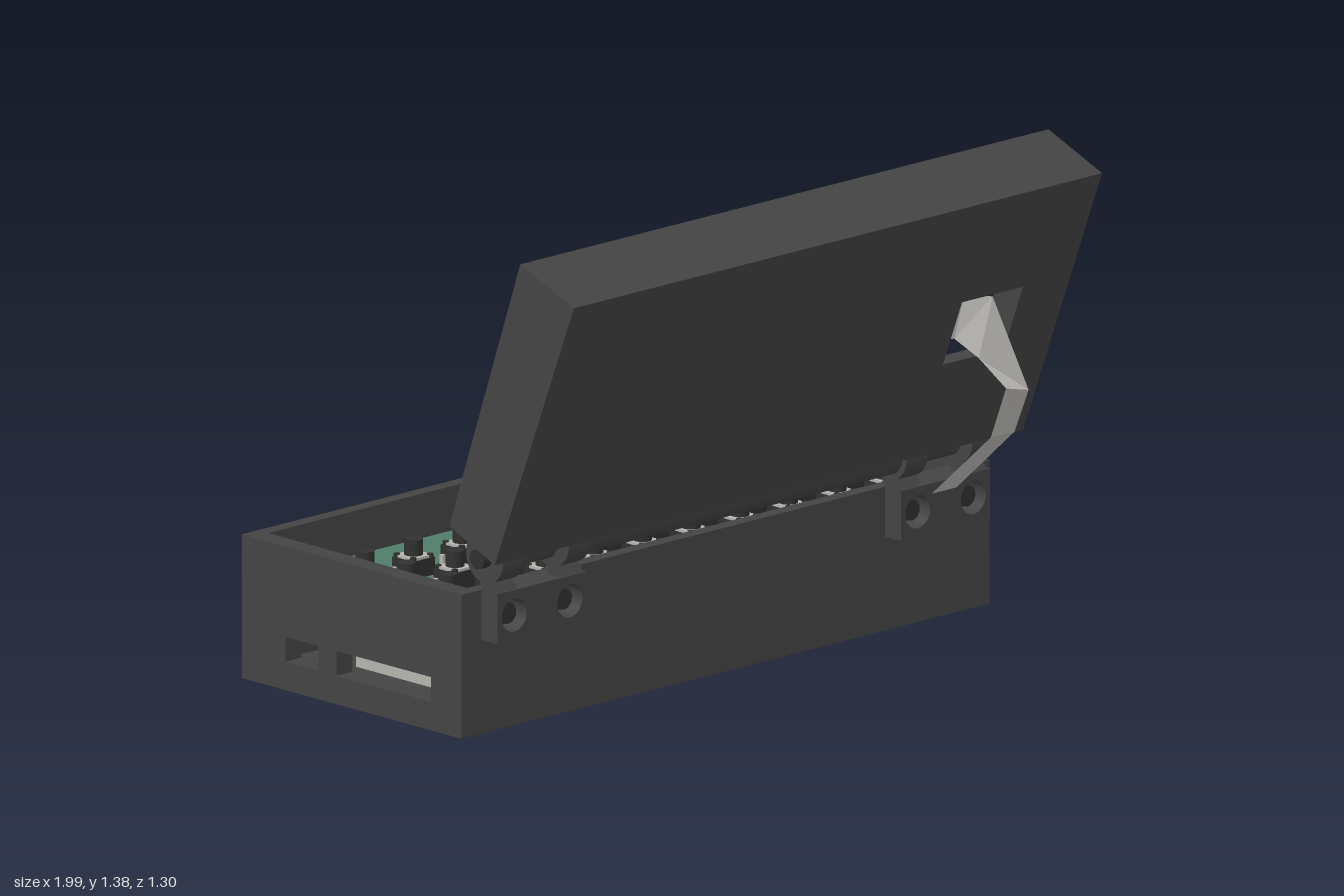
import * as THREE from 'three';

const mat = (name, color, side = THREE.FrontSide) => {
  const m = new THREE.MeshStandardMaterial({ color, side });
  m.name = name;
  return m;
};

export function createModel() {
  const M = {
    shell: mat('charcoal shell', 0x444444),
    screen: mat('black screen', 0x0a0a0a),
    board: mat('green board', 0x4f7d69),
    metal: mat('pale metal', 0xb4b3ac),
    dark: mat('dark plastic', 0x303030),
    tan: mat('tan plastic', 0xcdbf8c),
    cable: mat('grey cable', 0xc0beba, THREE.DoubleSide),
    hole: mat('dark olive', 0x3c5040),
  };
  const model = new THREE.Group();

  const add = (name, geo, material, parent = model) => {
    const m = new THREE.Mesh(geo, material);
    m.name = name;
    parent.add(m);
    return m;
  };
  // box given by its limits
  const box = (name, x0, x1, y0, y1, z0, z1, material, parent) =>
    add(name, new THREE.BoxGeometry(x1 - x0, y1 - y0, z1 - z0)
      .translate((x0 + x1) / 2, (y0 + y1) / 2, (z0 + z1) / 2), material, parent);
  const polygon = pts => new THREE.Shape(pts.map(p => new THREE.Vector2(...p)));
  const rect = (a0, a1, b0, b1) => polygon([[a0, b0], [a1, b0], [a1, b1], [a0, b1]]);
  const extrude = (shape, depth) =>
    new THREE.ExtrudeGeometry(shape, { depth, bevelEnabled: false, curveSegments: 16 });
  // side profile in (z, y), extruded from x0 to x1
  const profile = (name, shape, x0, x1, material, parent) =>
    add(name, extrude(shape, x1 - x0).rotateY(-Math.PI / 2).translate(x1, 0, 0), material, parent);
  // cylinder lying along x
  const rod = (name, r, x0, x1, y, z, material, parent) =>
    add(name, new THREE.CylinderGeometry(r, r, x1 - x0, 24).rotateZ(Math.PI / 2)
      .translate((x0 + x1) / 2, y, z), material, parent);

  // ---- base case, with port openings in its side walls
  const base = new THREE.Group();
  base.name = 'base';
  model.add(base);
  const [back, front, top] = [-0.65, 0.21, 0.405];
  box('baseFloor', -0.99, 0.99, 0, 0.04, back + 0.01, front - 0.01, M.shell, base);
  box('baseBackWall', -0.94, 0.94, 0, top, back, back + 0.04, M.shell, base);
  box('baseFrontWall', -0.94, 0.94, 0, top, front - 0.04, front, M.shell, base);
  const leftWall = rect(back, front, 0, top);
  leftWall.holes.push(rect(-0.2, 0.005, 0.1, 0.21));
  profile('baseLeftWall', leftWall, 0.935, 0.995, M.shell, base);
  const rightWall = rect(back, front, 0, top);
  rightWall.holes.push(rect(-0.48, -0.35, 0.08, 0.15), rect(-0.28, 0.09, 0.08, 0.15));
  profile('baseRightWall', rightWall, -0.995, -0.935, M.shell, base);
  box('baseUnderside', -0.94, 0.94, 0, 0.03, back + 0.002, front - 0.002, M.shell, base);
  box('portConnector', -0.93, -0.8, 0.095, 0.133, -0.27, 0.08, M.metal, base);

  // ---- circuit board with keys, pin holes and socket
  const by = 0.28;
  const board = new THREE.Group();
  board.name = 'circuitBoard';
  model.add(board);
  box('boardPlate', -0.935, 0.935, by - 0.03, by, -0.61, 0.17, M.board, board);
  const bodyGeo = new THREE.BoxGeometry(0.086, 0.05, 0.08);
  const plateGeo = new THREE.BoxGeometry(0.074, 0.008, 0.074);
  const capGeo = new THREE.CylinderGeometry(0.026, 0.026, 0.045, 16);
  const rivetGeo = new THREE.CylinderGeometry(0.009, 0.009, 0.01, 8);
  const legGeo = new THREE.BoxGeometry(0.014, 0.03, 0.014);
  for (let row = 0; row < 3; row++) {
    for (let col = 0; col < 10; col++) {
      const key = new THREE.Group();
      key.name = 'key';
      key.position.set(-0.825 + col * 0.1833, by, -0.345 + row * 0.1625);
      board.add(key);
      add('keyBody', bodyGeo, M.dark, key).position.y = 0.03;
      add('keyPlate', plateGeo, M.metal, key).position.y = 0.058;
      add('keyCap', capGeo, M.dark, key).position.y = 0.085;
      for (const sx of [-1, 1]) for (const sz of [-1, 1]) {
        add('keyRivet', rivetGeo, M.dark, key).position.set(sx * 0.032, 0.06, sz * 0.032);
        add('keyLeg', legGeo, M.metal, key).position.set(sx * 0.047, 0.015, sz * 0.026);
      }
    }
  }
  const pinGeo = new THREE.CylinderGeometry(0.009, 0.009, 0.006, 8);
  for (const z of [-0.27, 0.08])
    for (let i = 0; i < 20; i++)
      add('pinHole', pinGeo, M.hole, board).position.set(-0.875 + i * 0.0368, by + 0.001, z);
  box('socketBody', 0.7, 0.84, by, by + 0.035, 0.065, 0.11, M.tan, board);
  box('socketLatch', 0.71, 0.83, by, by + 0.04, 0.11, 0.148, M.dark, board);
  for (let i = 0; i < 8; i++)
    box('socketPin', 0.718 + i * 0.014, 0.725 + i * 0.014, by, by + 0.01, 0.052, 0.066, M.tan, board);

  // ---- lid: a tapered tray leaning forward, corners given in (z, y)
  const lid = new THREE.Group();
  lid.name = 'lid';
  model.add(lid);
  const A = [0.65, 1.3], B = [0.44, 1.382], C = [0.162, 0.59], D = [0.34, 0.515];
  const mix = (p, q, t) => [p[0] + (q[0] - p[0]) * t, p[1] + (q[1] - p[1]) * t];
  profile('lidLeftWall', polygon([A, B, C, D]), 0.955, 0.995, M.shell, lid);
  profile('lidRightWall', polygon([A, B, C, D]), -0.995, -0.955, M.shell, lid);
  profile('lidTopWall', polygon([A, B, mix(B, C, 0.05), mix(A, D, 0.05)]), -0.96, 0.96, M.shell, lid);
  profile('lidBottomWall', polygon([mix(D, A, 0.05), mix(C, B, 0.05), C, D]), -0.96, 0.96, M.shell, lid);
  const panel = rect(-0.96, 0.96, 0, 0.844);
  panel.holes.push(rect(0.585, 0.815, 0.306, 0.511));
  const lidPanel = add('lidPanel', extrude(panel, 0.035).translate(0, 0, -0.035), M.shell, lid);
  lidPanel.position.set(0, D[1], D[0]);
  lidPanel.rotation.x = Math.atan2(A[0] - D[0], A[1] - D[1]);
  // display slab, flush with the rim
  profile('screen', polygon([[0.425, 1.328], [0.18, 0.655], [0.303, 0.6], [0.549, 1.275]]),
    -0.47, 0.555, M.screen, lid);

  // ---- hinges
  const hy = 0.5, hz = 0.225;
  const shaft = [[0, -0.67], [0.03, -0.67], [0.056, -0.63], [0.056, 0.63], [0.03, 0.67], [0, 0.67]];
  add('hingeShaft', new THREE.LatheGeometry(shaft.map(p => new THREE.Vector2(...p)), 24)
    .rotateZ(-Math.PI / 2).translate(0.01, hy, hz), M.shell);
  for (const [cx, name] of [[0.768, 'leftHinge'], [-0.752, 'rightHinge']]) {
    const hinge = new THREE.Group();
    hinge.name = name;
    hinge.position.x = cx;
    model.add(hinge);
    const plate = rect(-0.168, 0.168, 0.264, 0.405);
    for (const sx of [-1, 1])
      plate.holes.push(new THREE.Path().absarc(sx * 0.105, 0.335, 0.047, 0, Math.PI * 2, true));
    add('hingePlate', extrude(plate, 0.063).translate(0, 0, front), M.shell, hinge);
    for (const sx of [-1, 1]) {
      add('hingeBolt', new THREE.CylinderGeometry(0.03, 0.03, 0.04, 16).rotateX(Math.PI / 2)
        .translate(sx * 0.105, 0.335, front + 0.02), M.dark, hinge);
      const x = sx * 0.13 - (sx > 0 ? 0.012 : 0);
      profile('hingeArm', polygon([[0.215, 0.4], [0.272, 0.4], [0.24, 0.45], [0.25, 0.5], [0.19, 0.5], [0.2, 0.45]]),
        x - 0.04, x + 0.04, M.shell, hinge);
      rod('hingeKnuckle', 0.073, x - 0.04, x + 0.04, hy, hz, M.shell, hinge);
    }
    rod('hingePin', 0.028, -0.2, 0.2, hy, hz, M.dark, hinge);
    rod('lidKnuckle', 0.045, -0.07, 0.06, hy, hz, M.shell, hinge);
    box('lidLeaf', -0.07, 0.06, hy, 0.57, 0.2, 0.28, M.shell, hinge);
  }

  // ---- flat cable: pairs of edge points from the screen to the base
  const sections = [
    [[0.55, 0.97, 0.45], [0.55, 0.86, 0.41]],
    [[0.65, 0.99, 0.47], [0.64, 0.86, 0.44]],
    [[0.7, 0.985, 0.528], [0.675, 0.81, 0.5]],
    [[0.8, 0.71, 0.565], [0.715, 0.73, 0.565]],
    [[0.805, 0.58, 0.505], [0.715, 0.58, 0.505]],
    [[0.81, 0.32, 0.21], [0.715, 0.32, 0.21]],
  ];
  const pos = [];
  for (let i = 0; i + 1 < sections.length; i++) {
    const [a, b] = sections[i], [c, d] = sections[i + 1];
    pos.push(...a, ...b, ...c, ...b, ...d, ...c);
  }
  const cable = new THREE.BufferGeometry();
  cable.setAttribute('position', new THREE.Float32BufferAttribute(pos, 3));
  cable.computeVertexNormals();
  add('flatCable', cable, M.cable);

  return model;
}
